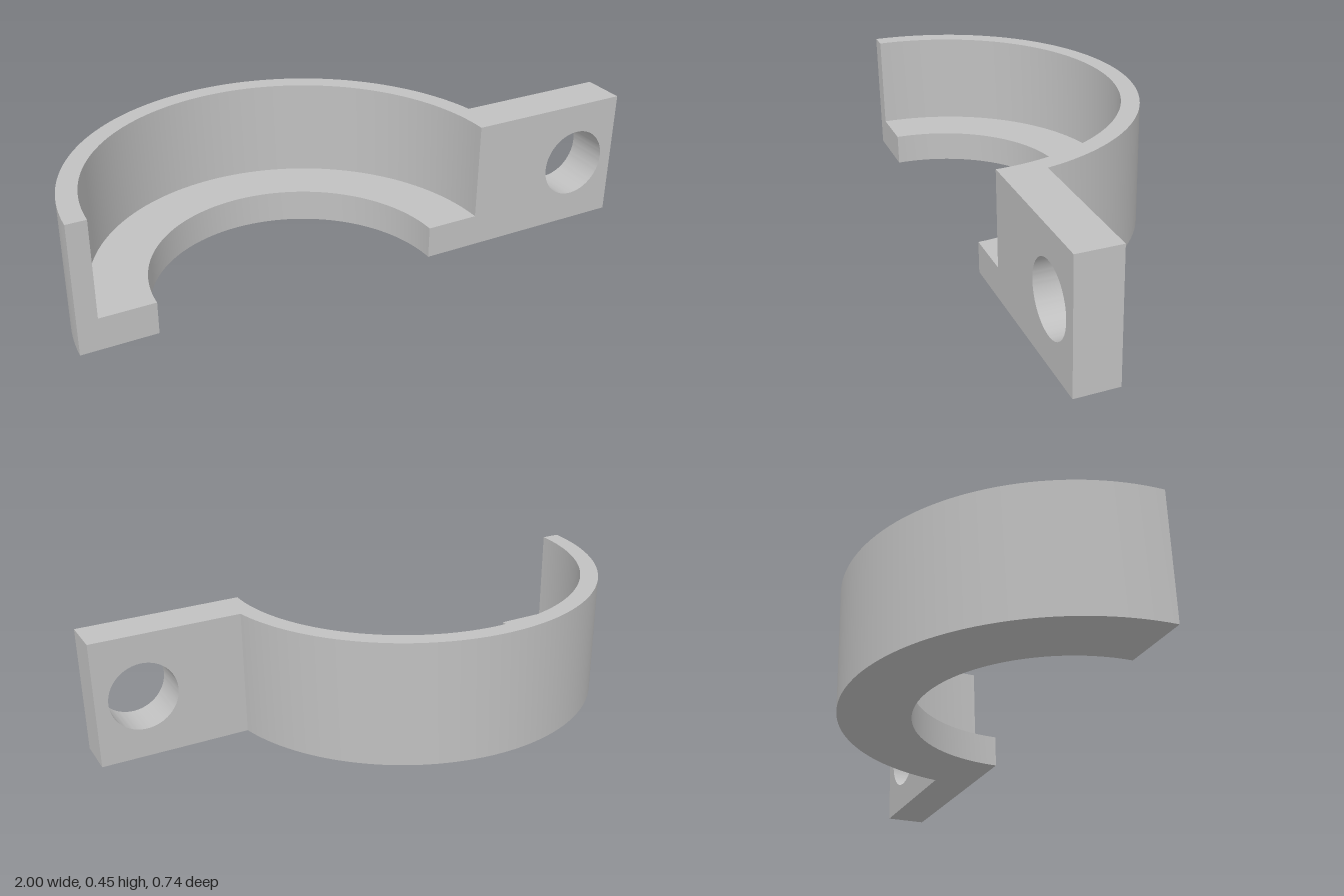
import * as THREE from 'three';
import { toCreasedNormals } from 'three/addons/utils/BufferGeometryUtils.js';

const HEIGHT = 0.452;
const FRONT = 0.371; // z of the flat split face
const CENTRE_X = -0.258; // axis of the half ring

export function createModel() {
  const grey = new THREE.MeshStandardMaterial({ color: 0xc0c0c0 });
  grey.name = 'light grey';
  const model = new THREE.Group();
  model.name = 'halfClamp';

  const add = (name, geometry, parent) => {
    const mesh = new THREE.Mesh(geometry, grey);
    mesh.name = name;
    parent.add(mesh);
    return mesh;
  };

  // Half ring: L-shaped section (wall plus inner floor lip) swept 180 degrees
  const ring = new THREE.Group();
  ring.name = 'halfRing';
  ring.position.set(CENTRE_X, 0, FRONT);
  model.add(ring);

  const section = [
    [0.49, 0], [0.742, 0], [0.742, HEIGHT], [0.676, HEIGHT], [0.676, 0.113], [0.49, 0.113],
  ].map(([r, y]) => new THREE.Vector2(r, y));
  const sweep = new THREE.LatheGeometry([...section, section[0]], 72, Math.PI / 2, Math.PI);
  add('ringBody', toCreasedNormals(sweep, 0.5), ring);

  // Flat end faces of the section, mirrored to both sides
  for (const side of [1, -1]) {
    const points = section.map((p) => new THREE.Vector2(p.x * side, p.y));
    add(side > 0 ? 'leftEndFace' : 'rightEndFace', new THREE.ShapeGeometry(new THREE.Shape(points)), ring);
  }

  // Mounting tab with a round bolt hole, rooted inside the ring wall
  const thickness = 0.15;
  const x0 = 0.45;
  const tab = new THREE.Shape();
  tab.moveTo(x0, 0).lineTo(1, 0).lineTo(1, HEIGHT).lineTo(x0, HEIGHT).closePath();
  const hole = new THREE.Path();
  hole.absarc(0.832, HEIGHT / 2, 0.122, 0, Math.PI * 2, true);
  tab.holes.push(hole);
  const tabGeometry = new THREE.ExtrudeGeometry(tab, { depth: thickness, bevelEnabled: false, curveSegments: 48 });
  add('mountingTab', toCreasedNormals(tabGeometry, 0.5), model).position.z = FRONT - thickness;

  return model;
}
